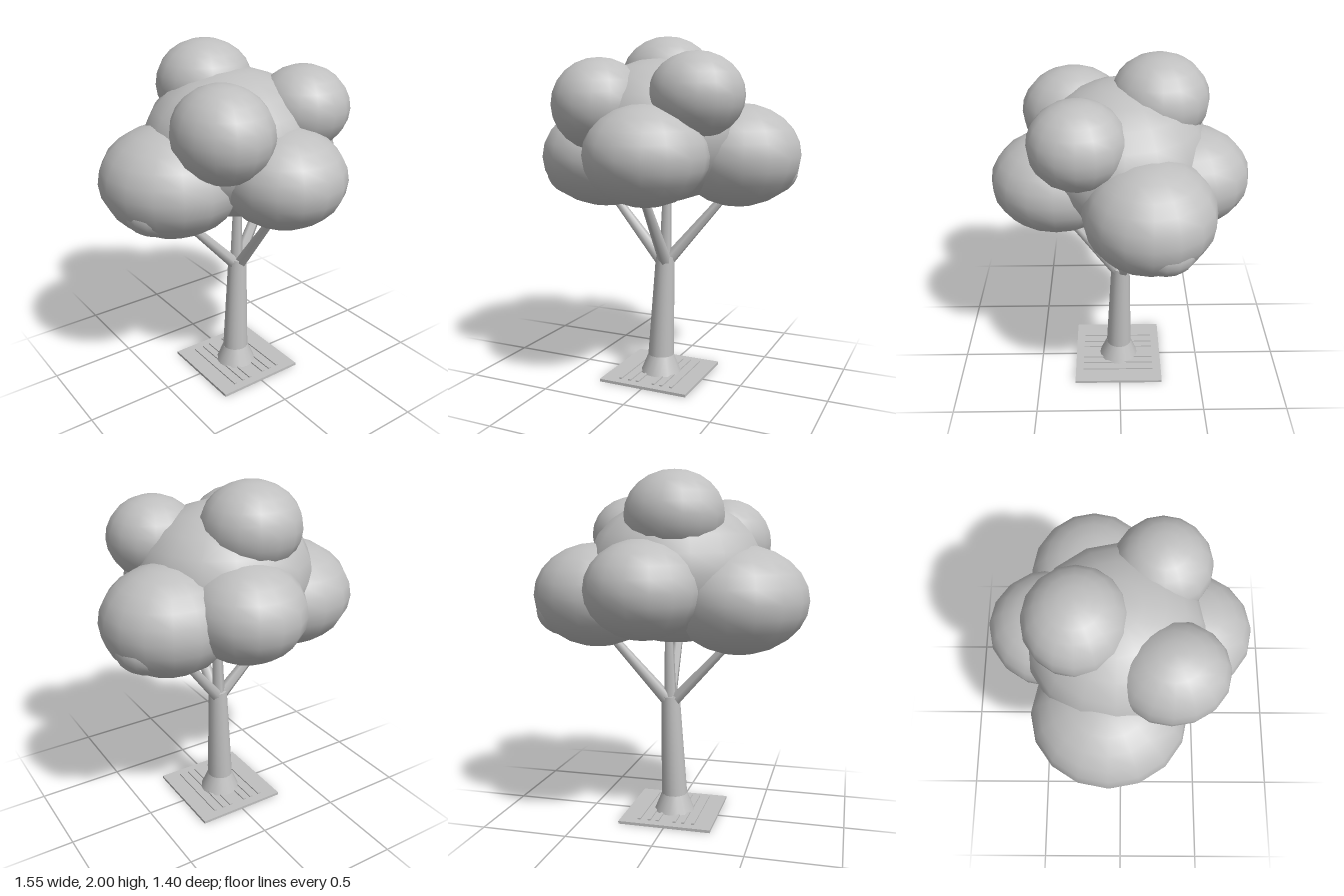
import * as THREE from 'three';

export function createModel() {
  const tree = new THREE.Group();
  const grey = new THREE.MeshStandardMaterial({ color: 0xc0c0c0 });
  grey.name = 'plain grey';

  const add = (name, geometry, parent = tree) => {
    const mesh = new THREE.Mesh(geometry, grey);
    mesh.name = name;
    parent.add(mesh);
    return mesh;
  };

  // Tapered round limb between two points
  const limb = (name, from, to, r0, r1, sides) => {
    const a = new THREE.Vector3(...from), b = new THREE.Vector3(...to);
    const dir = b.clone().sub(a);
    const mesh = add(name, new THREE.CylinderGeometry(r1, r0, dir.length(), sides));
    mesh.position.copy(a).add(b).multiplyScalar(0.5);
    mesh.quaternion.setFromUnitVectors(new THREE.Vector3(0, 1, 0), dir.normalize());
    return mesh;
  };

  // Square ground plate with raised bars running front to back
  add('groundPlate', new THREE.BoxGeometry(0.54, 0.016, 0.54)).position.set(0, 0.008, 0.008);
  for (const x of [-0.16, -0.1, -0.05, 0.05, 0.1, 0.16]) {
    add('plateBar', new THREE.BoxGeometry(0.018, 0.008, 0.44)).position.set(x, 0.02, 0.01);
  }

  // Flared foot and leaning trunk
  limb('trunkFoot', [0, 0.015, 0.005], [0, 0.12, 0.003], 0.12, 0.077, 16);
  limb('trunk', [0, 0.115, 0.003], [0.022, 0.72, -0.007], 0.077, 0.055, 16);

  // Branches spreading into the crown
  const branches = [
    [[0.0, 0.69, -0.01], [-0.36, 1.08, -0.05]],
    [[0.04, 0.7, -0.02], [0.36, 1.1, -0.13]],
    [[0.03, 0.69, 0.01], [0.04, 1.14, 0.34]],
    [[0.02, 0.68, -0.015], [0.03, 1.15, -0.015]],
  ];
  for (const [from, to] of branches) limb('branch', from, to, 0.038, 0.023, 6);

  // Crown of overlapping rounded foliage clumps: centre, radii
  const crown = new THREE.Group();
  crown.name = 'crown';
  tree.add(crown);
  const clumps = [
    ['coreFoliage', [-0.01, 1.455, -0.02], [0.505, 0.41, 0.48]],
    ['lowerRightFoliage', [-0.385, 1.3, -0.06], [0.39, 0.305, 0.41]],
    ['lowerLeftFoliage', [0.41, 1.32, -0.15], [0.365, 0.295, 0.35]],
    ['lowerFrontFoliage', [0.065, 1.34, 0.34], [0.34, 0.275, 0.36]],
    ['lowerBackFoliage', [0.075, 1.37, -0.37], [0.32, 0.27, 0.335]],
    ['topFoliage', [-0.055, 1.76, -0.215], [0.275, 0.24, 0.268]],
    ['upperRightFoliage', [-0.26, 1.605, 0.25], [0.262, 0.257, 0.295]],
    ['upperLeftFoliage', [0.3, 1.655, 0.213], [0.258, 0.23, 0.258]],
    ['rightFoliageBump', [-0.545, 1.2, 0.05], [0.18, 0.14, 0.16]],
    ['leftFoliageBump', [0.575, 1.23, -0.22], [0.17, 0.14, 0.17]],
  ];
  const ball = new THREE.SphereGeometry(1, 16, 12);
  for (const [name, centre, radii] of clumps) {
    const clump = add(name, ball, crown);
    clump.position.set(...centre);
    clump.scale.set(...radii);
  }

  return tree;
}
